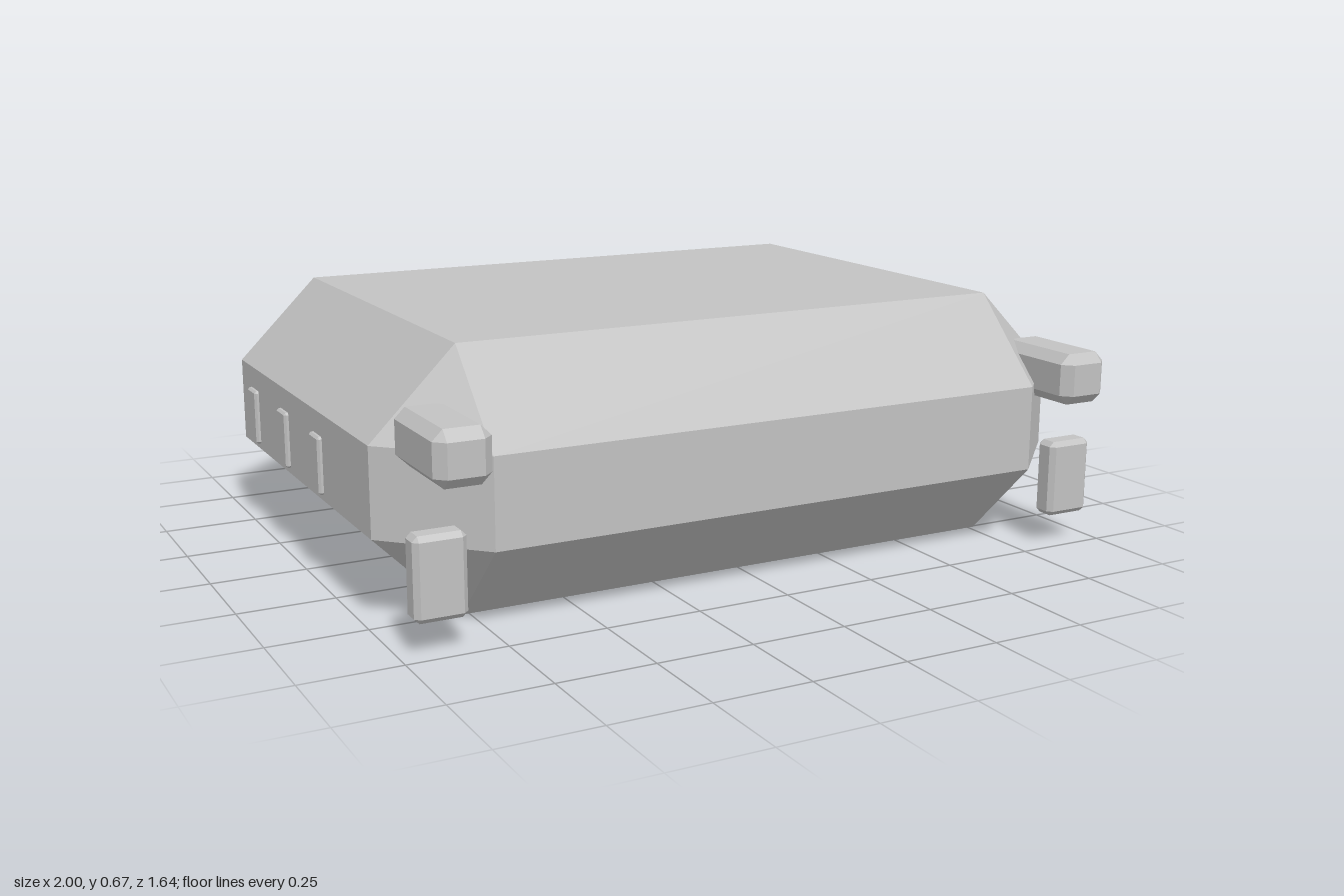
import * as THREE from 'three';
import { ConvexGeometry } from 'three/addons/geometries/ConvexGeometry.js';

// Box between two corners with every edge cut at 45 degrees by c
function chamferBox(name, min, max, c, material) {
  const mid = min.map((v, i) => (v + max[i]) / 2);
  const half = min.map((v, i) => (max[i] - v) / 2);
  const points = [];
  for (const sx of [-1, 1]) for (const sy of [-1, 1]) for (const sz of [-1, 1]) {
    for (let axis = 0; axis < 3; axis++) {
      const p = [sx, sy, sz].map((s, i) => s * (half[i] - (i === axis ? 0 : c)));
      points.push(new THREE.Vector3(...p));
    }
  }
  const mesh = new THREE.Mesh(new ConvexGeometry(points), material);
  mesh.name = name;
  mesh.position.set(...mid);
  return mesh;
}

export function createModel() {
  const model = new THREE.Group();
  model.name = 'bevelledHull';
  const grey = new THREE.MeshStandardMaterial({ color: 0xc2c2c2 });
  grey.name = 'light grey';

  // Main body
  model.add(chamferBox('body', [-0.988, 0, -0.82], [0.988, 0.665, 0.725], 0.22, grey));

  // Fittings, mirrored left and right
  for (const side of [-1, 1]) {
    const name = side > 0 ? 'left' : 'right';
    const add = (part, [x0, y0, z0], [x1, y1, z1], c) => {
      const xs = [side * x0, side * x1].sort((a, b) => a - b);
      model.add(chamferBox(name + part, [xs[0], y0, z0], [xs[1], y1, z1], c, grey));
    };

    // Forward arm on the front corner
    add('Arm', [0.8, 0.405, 0.53], [0.94, 0.54, 0.82], 0.026);
    // Upright plate below the arm
    add('Plate', [0.838, 0.08, 0.672], [0.968, 0.285, 0.738], 0.013);
    // Row of raised side panels
    for (const z of [0.108, -0.182, -0.472]) {
      add('SidePanel', [0.965, 0.235, z - 0.038], [1, 0.385, z + 0.038], 0.006);
    }
  }
  return model;
}
